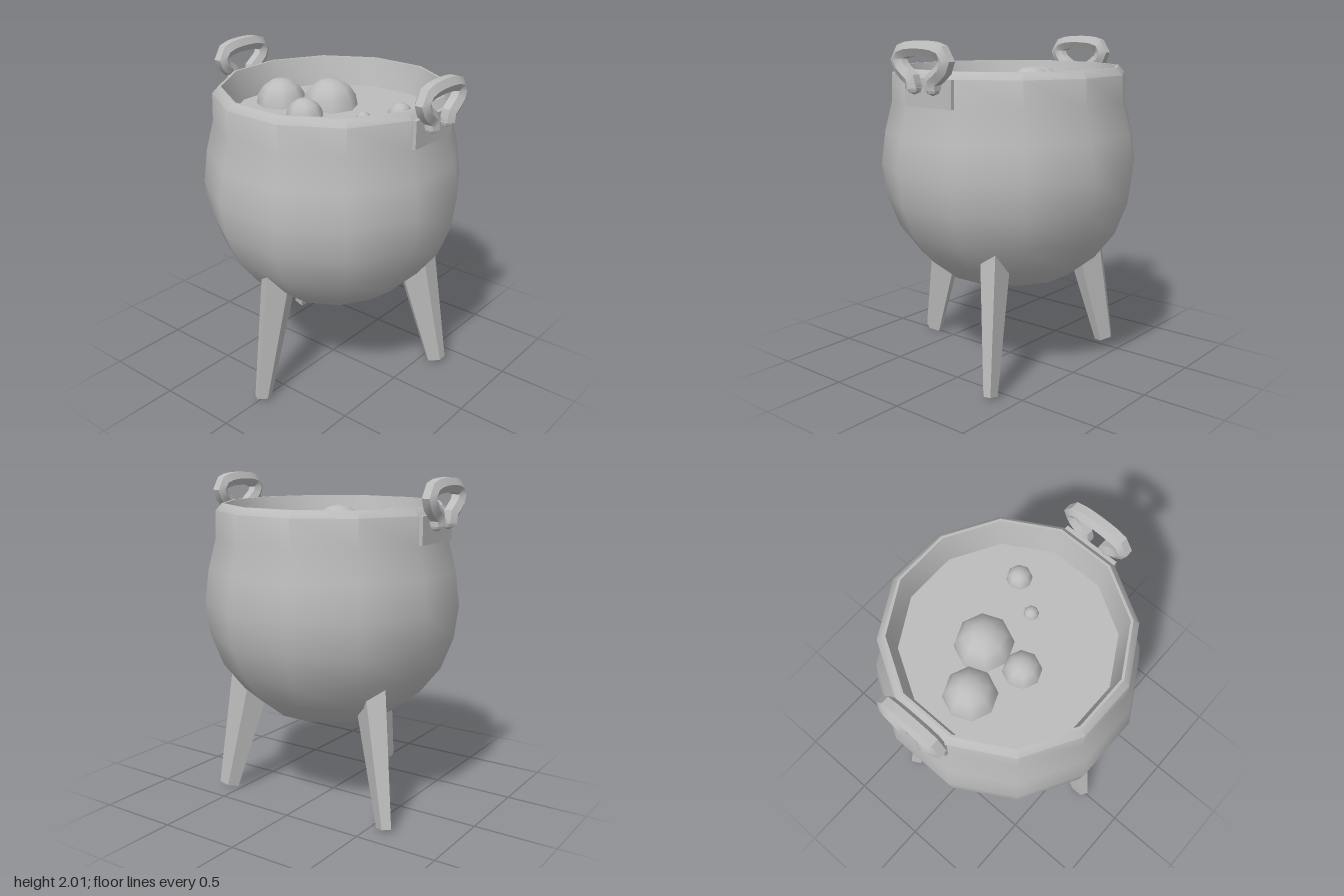
import * as THREE from 'three';
import { toCreasedNormals } from 'three/addons/utils/BufferGeometryUtils.js';

const SIDES = 12;
const STEP = Math.PI / SIDES;           // half a side, so a flat side faces front
const SOUP_Y = 1.67;

export function createModel() {
  const model = new THREE.Group();
  model.name = 'cauldron';
  const iron = new THREE.MeshStandardMaterial({ color: 0xbcbcbc });
  iron.name = 'grey';

  function add(parent, name, geometry, crease) {
    const mesh = new THREE.Mesh(toCreasedNormals(geometry, crease), iron);
    mesh.name = name;
    parent.add(mesh);
    return mesh;
  }

  // Pot: outer belly, bevelled rim and inner wall; radii are to the flat sides
  const profile = [
    [0, 0.48], [0.38, 0.58], [0.54, 0.71], [0.66, 0.87], [0.73, 1.06], [0.755, 1.26],
    [0.73, 1.46], [0.685, 1.64], [0.68, 1.805], [0.645, 1.845], [0.63, 1.845], [0.585, SOUP_Y - 0.01],
  ].map(([r, y]) => new THREE.Vector2(r / Math.cos(STEP), y));
  add(model, 'pot', new THREE.LatheGeometry(profile, SIDES, STEP), 0.75);

  // Soup surface
  const soup = new THREE.CircleGeometry(0.59 / Math.cos(STEP), SIDES, STEP);
  soup.rotateX(-Math.PI / 2).translate(0, SOUP_Y, 0);
  add(model, 'soup', soup, 0.1);

  // Bubbles: x, z, radius
  const bubbles = [
    [-0.1, -0.09, 0.168], [-0.37, 0.05, 0.152], [-0.08, 0.168, 0.11],
    [0.332, -0.208, 0.075], [0.21, -0.015, 0.044],
  ];
  for (const [x, z, r] of bubbles) {
    const dome = new THREE.SphereGeometry(r, 8, 4, 0, Math.PI * 2, 0, Math.PI / 2);
    add(model, 'bubble', dome, 1).position.set(x, SOUP_Y, z);
  }

  // Three splayed five-sided legs, deeper than wide
  for (let i = 0; i < 3; i++) {
    const leg = new THREE.CylinderGeometry(0.093, 0.042, 0.856, 5);
    leg.rotateY(0.24).scale(1, 1, 1.55).rotateX(-0.224).translate(0, 0.4325, 0.585);
    add(model, 'leg', leg, 0.2).rotation.y = i * Math.PI * 2 / 3;
  }

  // Handles: an open loop with curled-in feet on a flat plate
  const half = [[1.75, 0.07], [1.795, 0.075], [1.855, 0.155], [1.92, 0.178], [1.955, 0.125]];
  const path = [...half, ...half.map(([y, z]) => [y, -z]).reverse()]
    .map(([y, z]) => new THREE.Vector3(0, y, z));
  for (const side of [1, -1]) {
    const handle = new THREE.Group();
    handle.name = side > 0 ? 'leftHandle' : 'rightHandle';
    const loop = new THREE.TubeGeometry(new THREE.CatmullRomCurve3(path), 16, 0.047, 6);
    add(handle, 'handleLoop', loop, 0.7).position.x = side * 0.742;
    for (const z of [0.07, -0.07]) {
      const foot = new THREE.SphereGeometry(0.047, 6, 4);
      add(handle, 'handleFoot', foot, 0.7).position.set(side * 0.735, 1.763, z);
    }
    const plate = new THREE.BoxGeometry(0.05, 0.16, 0.35);
    add(handle, 'handlePlate', plate, 0.2).position.set(side * 0.681, 1.725, 0);
    model.add(handle);
  }
  return model;
}
